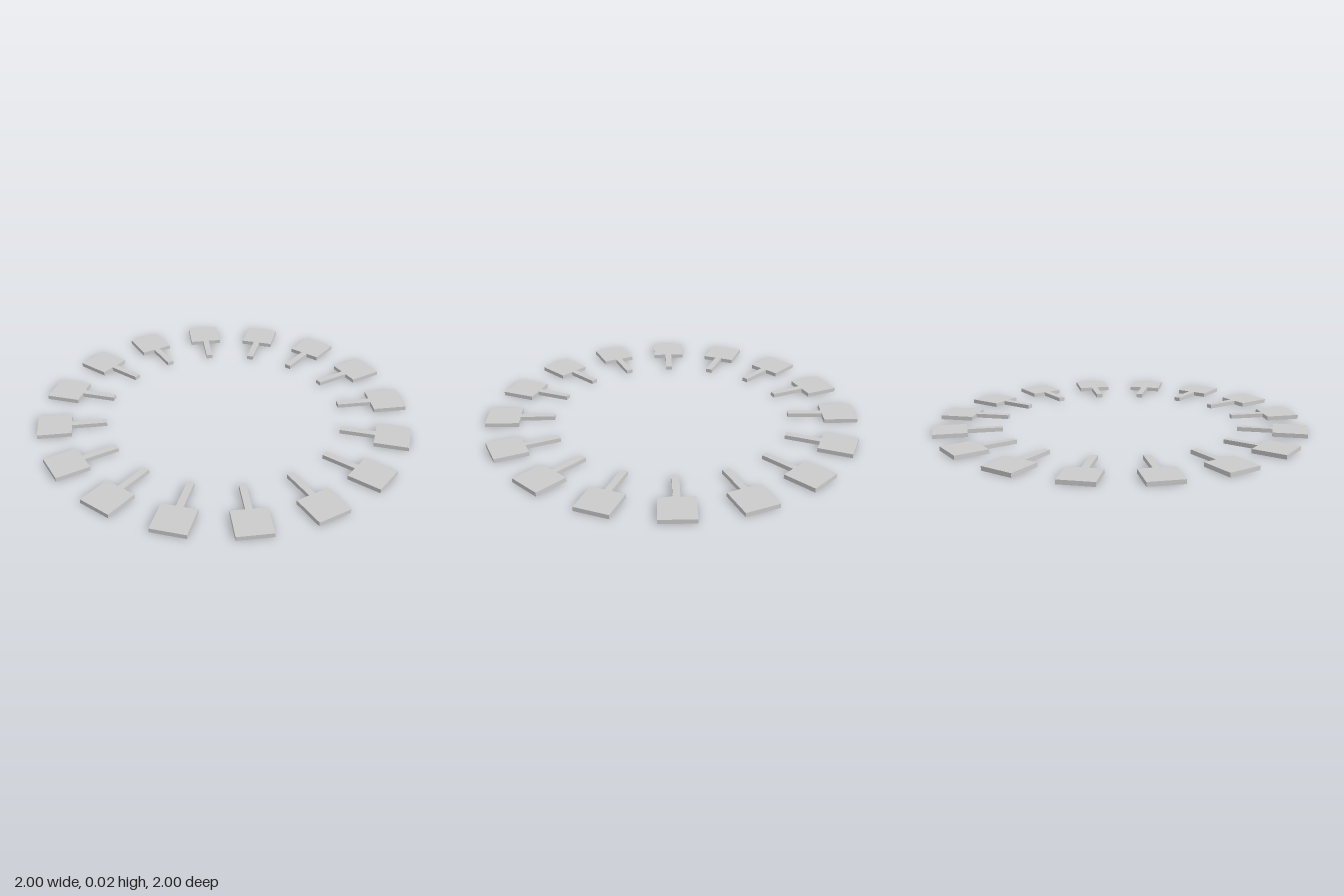
import * as THREE from 'three';

const COUNT = 16;
const THICK = 0.022;
const PAD = 0.18;
const STEM_INNER = 0.635;
const STEM_WIDTH = 0.036;

export function createModel() {
  const model = new THREE.Group();
  model.name = 'paddleRing';
  const material = new THREE.MeshStandardMaterial({ color: 0xcccccc, flatShading: true });

  // Square pad with its outer edge at radius 1
  const padGeometry = new THREE.BoxGeometry(PAD, THICK, PAD);
  padGeometry.translate(1 - PAD / 2, THICK / 2, 0);

  // Narrow stem reaching inward from the pad
  const stemLength = 1 - PAD - STEM_INNER;
  const stemGeometry = new THREE.BoxGeometry(stemLength, THICK, STEM_WIDTH);
  stemGeometry.translate(STEM_INNER + stemLength / 2, THICK / 2, 0);

  // Repeat the paddle around the ring
  for (let i = 0; i < COUNT; i++) {
    const paddle = new THREE.Group();
    paddle.name = `paddle${i + 1}`;
    const pad = new THREE.Mesh(padGeometry, material);
    pad.name = 'pad';
    const stem = new THREE.Mesh(stemGeometry, material);
    stem.name = 'stem';
    paddle.add(pad, stem);
    paddle.rotation.y = (i / COUNT) * Math.PI * 2;
    model.add(paddle);
  }
  return model;
}
